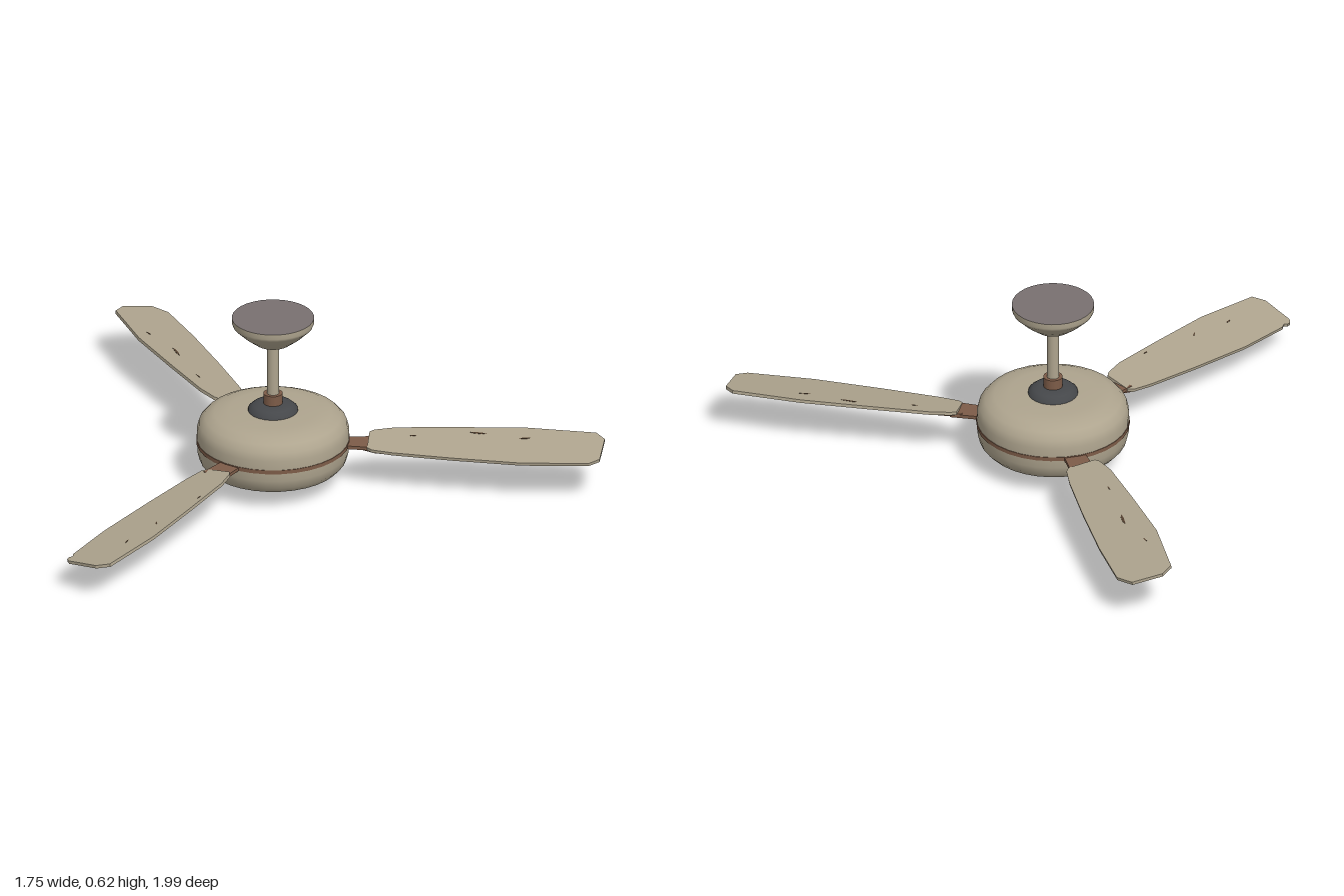
import * as THREE from 'three';

const mat = (name, color) => new THREE.MeshStandardMaterial({ name, color });
const beige = mat('agedBeige', 0xaea48e);
const brown = mat('rustBrown', 0x7d5c48);
const dark = mat('darkMetal', 0x45474a);
const grey = mat('mountGrey', 0x787070);
const chip = mat('chippedWood', 0x54402f);

const V = (x, y) => new THREE.Vector2(x, y);

function mesh(name, geometry, material, parent) {
  const m = new THREE.Mesh(geometry, material);
  m.name = name;
  parent.add(m);
  return m;
}

// Surface of revolution from [radius, height] pairs listed bottom to top
const lathe = (pts, seg = 32) => new THREE.LatheGeometry(pts.map(p => V(...p)), seg);

// Flat outline [along, across] laid into the horizontal plane, top face at y = 0
function plate(pts, depth, holes = []) {
  const shape = new THREE.Shape(pts.map(p => V(...p)));
  for (const [x, y, r] of holes) {
    shape.holes.push(new THREE.Path().absarc(x, y, r, 0, Math.PI * 2, true));
  }
  return new THREE.ExtrudeGeometry(shape, { depth, bevelEnabled: false, curveSegments: 6 })
    .rotateX(Math.PI / 2);
}

const THICK = 0.011;
const PITCH = 0.17;
const PIVOT = 0.3;

// Each blade: heading, droop, worn tip outline, chips as [along, across, length, width, turn]
const BLADES = [
  {
    name: 'leftBlade', yaw: 0, droop: 0,
    tip: [[1.085, 0.087], [1.12, 0.06], [1.127, -0.06], [1.095, -0.095]],
    chips: [[0.475, -0.035, 0.025, 0.005, 0.2], [0.695, -0.065, 0.06, 0.01, 0], [0.855, -0.045, 0.04, 0.007, 0.2]],
  },
  {
    name: 'backBlade', yaw: Math.PI * 2 / 3, droop: 0,
    tip: [[1.062, 0.1], [1.118, 0.063], [1.123, -0.045], [1.089, -0.087]],
    chips: [[0.52, -0.04, 0.025, 0.005, 0.2], [0.73, -0.025, 0.065, 0.011, 0], [0.89, -0.055, 0.025, 0.006, 0.3]],
  },
  {
    name: 'frontBlade', yaw: -Math.PI * 2 / 3, droop: -0.055,
    tip: [[1.05, 0.092], [1.068, 0.082], [1.078, 0.09], [1.092, 0.088], [1.104, 0.073],
      [1.108, 0.02], [1.114, -0.05], [1.09, -0.092]],
    chips: [[0.535, -0.07, 0.022, 0.005, 0.2], [0.757, -0.05, 0.025, 0.006, 0.6], [0.914, -0.037, 0.025, 0.006, 0.3]],
  },
];

function makeBlade({ name, yaw, droop, tip, chips }) {
  const arm = new THREE.Group();
  arm.name = name + 'Assembly';
  arm.rotation.y = yaw;

  // Short iron leaving the motor housing
  mesh('bladeArm', plate([[0.2, -0.035], [0.35, -0.042], [0.35, 0.042], [0.2, 0.035]], 0.012), brown, arm)
    .position.y = 0.16;

  // Drooped and pitched part
  const tilt = new THREE.Group();
  tilt.name = name;
  tilt.position.set(PIVOT, 0.168, 0);
  tilt.rotation.set(PITCH, 0, droop, 'ZYX');
  arm.add(tilt);
  const place = (part, y) => { part.position.set(-PIVOT, y, 0); return part; };

  const outline = [[0.325, -0.05], [0.342, -0.062], [0.415, -0.08], [0.62, -0.095], [0.855, -0.108],
    ...[...tip].reverse(), [0.855, 0.1], [0.62, 0.087], [0.415, 0.07], [0.342, 0.058], [0.325, 0.045]];
  place(mesh('bladeBoard', plate(outline, THICK), beige, tilt), 0);

  // Pierced bracket under the blade with its screws
  const bracket = [[0.31, -0.035], [0.35, -0.05], [0.4, -0.055], [0.425, -0.04], [0.43, -0.02],
    [0.46, -0.015], [0.46, 0.015], [0.43, 0.02], [0.425, 0.04], [0.4, 0.055], [0.35, 0.05], [0.31, 0.035]];
  place(mesh('bladeBracket', plate(bracket, 0.008, [[0.365, -0.024, 0.011], [0.365, 0.024, 0.011]]), brown, tilt), -THICK);
  for (const [x, z] of [[0.405, -0.037], [0.405, 0.037], [0.445, 0]]) {
    mesh('bracketScrew', new THREE.CylinderGeometry(0.007, 0.007, 0.005, 8), dark, tilt)
      .position.set(x - PIVOT, -THICK - 0.009, z);
  }

  // Worn slivers showing on both faces
  for (const [x, z, len, wid, turn] of chips) {
    const sliver = plate([[-len / 2, -wid / 3], [-len / 6, -wid / 2], [len / 2, 0], [len / 5, wid / 2], [-len / 4, wid / 4]], 0.001);
    for (const y of [0.001, -THICK]) {
      const s = mesh('wornChip', sliver, chip, tilt);
      s.position.set(x - PIVOT, y, z);
      s.rotation.y = turn;
    }
  }
  return arm;
}

export function createModel() {
  const fan = new THREE.Group();
  fan.name = 'ceilingFan';
  const hub = new THREE.Group();
  hub.name = 'hub';
  hub.position.x = -0.255;
  fan.add(hub);

  // Motor housing halves around a thin band
  mesh('housingLower', lathe([[0, 0.048], [0.16, 0.048], [0.2, 0.054], [0.23, 0.068], [0.25, 0.09],
    [0.258, 0.12], [0.259, 0.15]]), beige, hub);
  mesh('housingUpper', lathe([[0.259, 0.162], [0.259, 0.195], [0.252, 0.222], [0.232, 0.245],
    [0.2, 0.26], [0.15, 0.267], [0.07, 0.268], [0, 0.268]]), beige, hub);
  mesh('housingBand', new THREE.CylinderGeometry(0.261, 0.261, 0.014, 32), brown, hub).position.y = 0.156;

  // Bottom cap
  mesh('bottomCap', lathe([[0, 0], [0.055, 0.002], [0.075, 0.009], [0.088, 0.025], [0.092, 0.052]], 24), brown, hub);

  // Stepped cap, collar and downrod
  mesh('topCap', lathe([[0.086, 0.262], [0.084, 0.275], [0.068, 0.289], [0.045, 0.295], [0, 0.295]], 24), dark, hub);
  mesh('rodCollar', new THREE.CylinderGeometry(0.033, 0.033, 0.045, 16), brown, hub).position.y = 0.309;
  mesh('downrod', new THREE.CylinderGeometry(0.021, 0.021, 0.22, 16), beige, hub).position.y = 0.42;

  // Ceiling canopy with flat mounting face
  mesh('canopy', lathe([[0, 0.515], [0.04, 0.515], [0.06, 0.522], [0.1, 0.553], [0.136, 0.588], [0.14, 0.598], [0.14, 0.616]]), beige, hub);
  mesh('mountingFace', new THREE.CircleGeometry(0.14, 32).rotateX(-Math.PI / 2), grey, hub).position.y = 0.616;

  for (const blade of BLADES) hub.add(makeBlade(blade));
  return fan;
}
